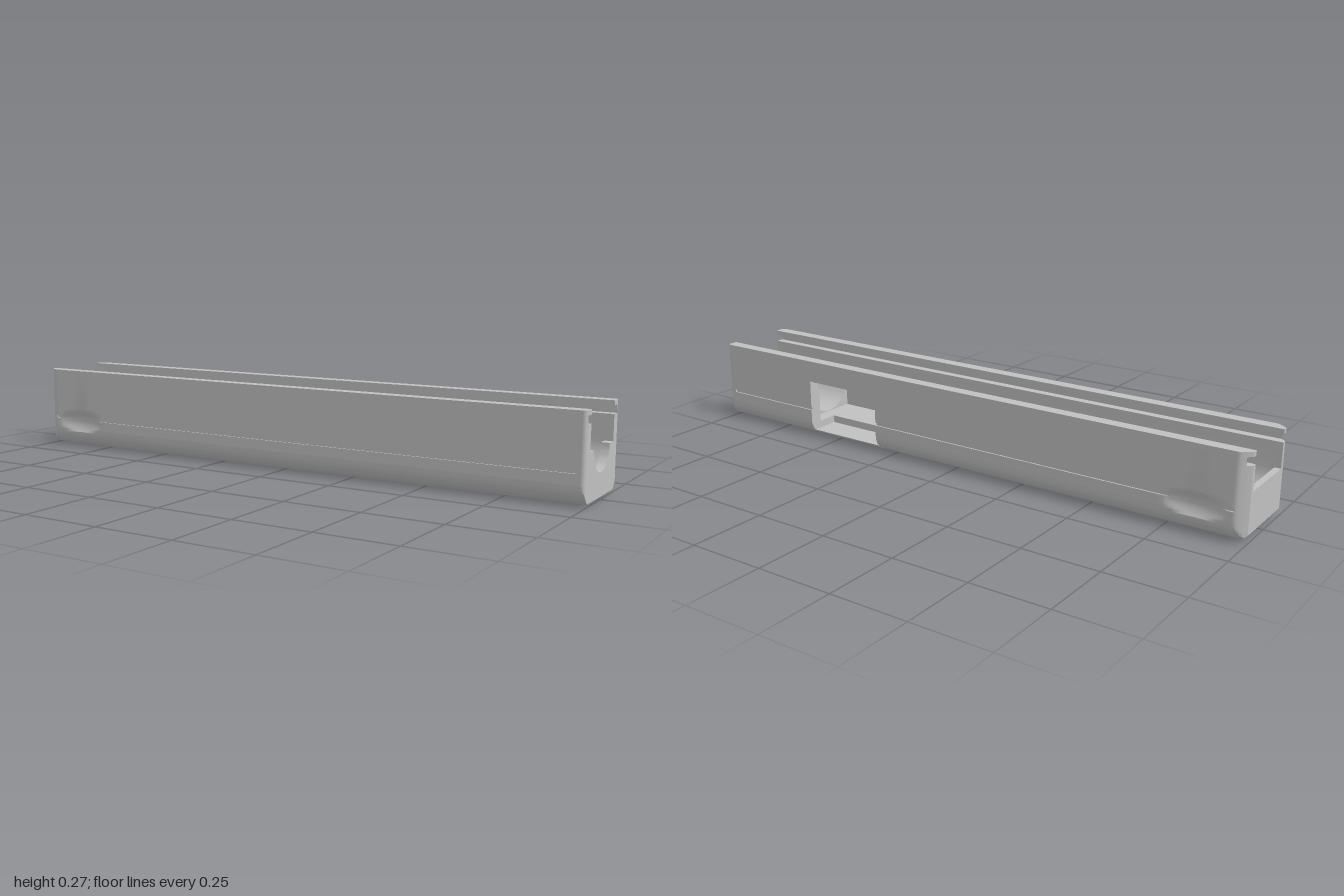
import * as THREE from 'three';
import { mergeGeometries, toCreasedNormals } from 'three/addons/utils/BufferGeometryUtils.js';

const W = 0.144, H = 0.273, R = 0.06;          // half width, height, bottom edge radius
const IN = 0.105, AXIS = 0.153;                // trough radius and height of its axis
const SLOT0 = 0.233, SLOT1 = 0.258, SLOTZ = 0.132;
const FLOOR = 0.045, WIN0 = 0.02, WIN1 = 0.2;  // pocket floor, side window bottom and top

// Points are [z, y] in the cross-section
function arc(r, a0, a1, n, cz = 0, cy = AXIS) {
  return Array.from({ length: n + 1 }, (_, i) => {
    const a = a0 + (a1 - a0) * i / n;
    return [cz + r * Math.cos(a), cy + r * Math.sin(a)];
  });
}
const side = (pts, s) => pts.map(([z, y]) => [z * s, y]);

// Outer wall from rim to bottom, with the fine side groove
function outer(s, groove, top = H) {
  const p = [[W, top]];
  for (let y = 0.136; y > 0.107; y -= 0.008) p.push([W, y]);
  if (groove) p.push([W, 0.105], [W - 0.005, 0.105], [W - 0.005, 0.096], [W, 0.096]);
  for (let y = 0.09; y > 0.064; y -= 0.008) p.push([W, y]);
  return side([...p, ...arc(R, 0, -Math.PI / 2, 12, W - R, R)], s);
}

// Inner wall from rim down to the trough, with the lid slot
const inner = (s) => side([[IN, H], [IN, SLOT1], [SLOTZ, SLOT1], [SLOTZ, SLOT0], [IN, SLOT0], [IN, AXIS]], s);

// Trough shapes, from -z to +z
const troughs = {
  wall: () => [],
  round: () => arc(IN, Math.PI, 2 * Math.PI, 32).slice(1, -1),
  smallNotch: () => arc(0.032, Math.PI, 2 * Math.PI, 20),
  bigNotch: () => arc(0.072, Math.PI, 2 * Math.PI, 28),
  box: () => [[-0.1, AXIS], [-0.1, FLOOR], [0.1, FLOOR], [0.1, AXIS]],
};

// All closed outlines of one kind of section
function outlines(kind, groove) {
  if (kind === 'openSlot') {
    const lip = [[IN, SLOT1], [W, SLOT1], [W, H], [IN, H]];
    return [
      [...outer(1, false, SLOT0), ...outer(-1, false, SLOT0).reverse(),
        [-IN, SLOT0], [-IN, AXIS], [IN, AXIS], [IN, SLOT0]],
      lip, side(lip, -1),
    ];
  }
  if (kind === 'recess') {
    const a = Math.acos(0.04 / IN);
    const half = [...outer(1, groove), [0.04, 0], ...arc(IN, -a, 0, 16).slice(0, -1), ...inner(1).reverse()];
    return [half, side(half, -1)];
  }
  if (kind === 'window') {
    const a = -Math.asin((R - WIN0) / R);
    return [
      [...outer(1, groove), ...side(arc(R, -Math.PI / 2, a, 8, W - R, R), -1),
        [-0.03, WIN0], [-0.03, FLOOR], [0.1, FLOOR], [0.1, AXIS], ...inner(1).reverse()],
      [[-W, H], [-W, WIN1], [-IN, WIN1], ...inner(-1).slice(0, -1).reverse()],
    ];
  }
  return [[...outer(1, groove), ...outer(-1, groove).reverse(), ...inner(-1), ...troughs[kind](), ...inner(1).reverse()]];
}

// Softened ends and the shallow oval finger dishes
function sculpt(geo) {
  const p = geo.attributes.position;
  for (let i = 0; i < p.count; i++) {
    const x = p.getX(i), y = p.getY(i), z = p.getZ(i);
    const tail = Math.max(0, (-0.965 - x) / 0.035), nose = Math.max(0, (x - 0.99) / 0.01);
    const inset = 0.025 * Math.pow(tail, 1.3) + 0.008 * nose * nose;
    const e = ((x + 0.85) / 0.1) ** 2 + ((y - 0.09) / 0.04) ** 2;
    const dish = Math.abs(z) > 0.12 ? 0.014 * Math.max(0, 1 - e) : 0;
    p.setZ(i, Math.sign(z) * Math.min(Math.abs(z), W - inset - dish));
    p.setY(i, Math.max(y, inset));
  }
  return geo;
}

function section([x0, x1, kind, steps = 1, groove = true]) {
  return outlines(kind, groove).map((pts) => {
    const shape = new THREE.Shape(pts.map(([z, y]) => new THREE.Vector2(-z, y)));
    const geo = new THREE.ExtrudeGeometry(shape, { depth: x1 - x0, steps, bevelEnabled: false });
    return sculpt(geo.rotateY(Math.PI / 2).translate(x0, 0, 0));
  });
}

export function createModel() {
  const model = new THREE.Group();
  const grey = new THREE.MeshStandardMaterial({ color: 0xc0c0c0 });
  grey.name = 'light grey';

  const add = (name, geos) => {
    const mesh = new THREE.Mesh(toCreasedNormals(mergeGeometries(geos), 0.5), grey);
    mesh.name = name;
    model.add(mesh);
  };

  // Housing, section by section along its length
  add('housing', [
    [-1, -0.985, 'openSlot', 4, false],
    [-0.985, -0.98, 'wall', 1, false],
    [-0.98, -0.965, 'round', 3, false],
    [-0.965, -0.52, 'round', 60],
    [-0.52, -0.51, 'smallNotch'],
    [-0.51, -0.235, 'round'],
    [-0.235, -0.145, 'recess'],
    [-0.145, 0.11, 'round'],
    [0.11, 0.31, 'box'],
    [0.31, 0.6, 'window'],
    [0.6, 0.65, 'box'],
    [0.65, 0.975, 'round'],
    [0.975, 1, 'bigNotch', 10, false],
  ].flatMap(section));

  // Square recess floor with its round screw hole
  const plate = new THREE.Shape([[-0.045, -0.04], [0.045, -0.04], [0.045, 0.04], [-0.045, 0.04]]
    .map(([x, z]) => new THREE.Vector2(x, z)));
  plate.holes.push(new THREE.Path().absarc(0, 0, 0.019, 0, Math.PI * 2, true));
  const floor = new THREE.ExtrudeGeometry(plate, { depth: 0.03, bevelEnabled: false, curveSegments: 24 });
  add('screwRecessFloor', [floor.rotateX(-Math.PI / 2).translate(-0.19, 0, 0)]);

  return model;
}
